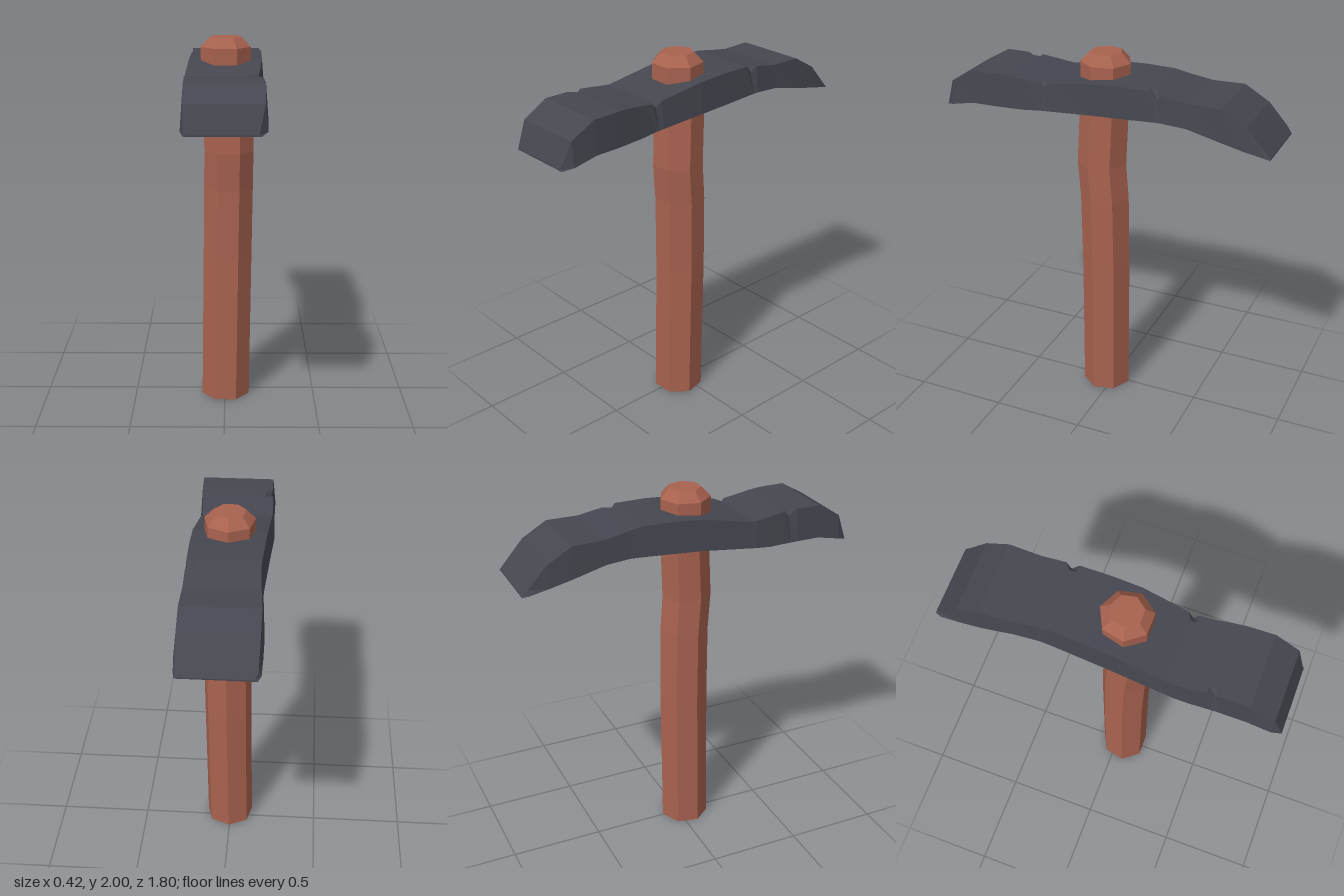
import * as THREE from 'three';

// Faceted solid through a list of rings, each counter-clockwise about the direction of travel
function loft(rings) {
  const pos = [], n = rings[0].length;
  const tri = (a, b, c) => pos.push(...a, ...b, ...c);
  for (let i = 0; i < rings.length - 1; i++) {
    for (let j = 0; j < n; j++) {
      const k = (j + 1) % n;
      const a = rings[i][j], b = rings[i][k], c = rings[i + 1][k], d = rings[i + 1][j];
      tri(a, b, c);
      tri(a, c, d);
    }
  }
  const first = rings[0], last = rings[rings.length - 1];
  for (let j = 1; j < n - 1; j++) {
    tri(first[0], first[j + 1], first[j]);
    tri(last[0], last[j], last[j + 1]);
  }
  const g = new THREE.BufferGeometry();
  g.setAttribute('position', new THREE.Float32BufferAttribute(pos, 3));
  g.computeVertexNormals();
  return g;
}

// Seven-sided ring of the handle, one corner towards the back
function handleRing([y, x, z, r]) {
  return Array.from({ length: 7 }, (_, i) => {
    const a = (i / 7) * Math.PI * 2;
    return [x - r * Math.sin(a), y, z - r * Math.cos(a)];
  });
}

// Cross-section of the head; nickL and nickR lower the upper corners
function headRing([z, top, bottom, xl, xr, nickL = 0, nickR = 0]) {
  const inset = 0.013, rim = 0.05;
  return [
    [xl, bottom, z], [xr, bottom, z],
    [xr - inset - nickR * 0.3, top - nickR, z], [xr - rim, top, z],
    [xl + rim, top, z], [xl + inset + nickL * 0.3, top - nickL, z],
  ];
}

export function createModel() {
  const wood = new THREE.MeshStandardMaterial({ color: 0xa8624f });
  const iron = new THREE.MeshStandardMaterial({ color: 0x464650 });
  wood.name = 'reddish wood';
  iron.name = 'dark iron';

  // Slightly crooked handle with a bevelled top: y, centre x, centre z, radius
  const handle = new THREE.Mesh(loft([
    [0, 0.005, 0.04, 0.134],
    [0.8, 0.015, 0.035, 0.134],
    [1.2, 0.02, 0.04, 0.134],
    [1.4, 0.022, 0.055, 0.134],
    [1.7, 0.018, 0.042, 0.132],
    [1.86, 0.006, 0.04, 0.134],
    [1.95, 0.005, 0.04, 0.134],
    [2, 0.005, 0.04, 0.086],
  ].map(handleRing)), wood);
  handle.name = 'handle';

  // Curved, chipped head: z, top, bottom, right x, left x, chips
  const head = new THREE.Mesh(loft([
    [-0.9, 1.645, 1.638, -0.185, 0.193],
    [-0.87, 1.677, 1.647, -0.2, 0.2],
    [-0.77, 1.785, 1.668, -0.203, 0.208],
    [-0.64, 1.86, 1.697, -0.203, 0.208],
    [-0.47, 1.86, 1.735, -0.192, 0.205],
    [-0.34, 1.882, 1.742, -0.184, 0.206],
    [-0.31, 1.888, 1.741, -0.184, 0.206, 0, 0.035],
    [-0.27, 1.895, 1.739, -0.185, 0.206],
    [-0.1, 1.895, 1.73, -0.193, 0.208],
    [0.05, 1.885, 1.722, -0.2, 0.207],
    [0.29, 1.841, 1.698, -0.211, 0.187],
    [0.32, 1.835, 1.695, -0.212, 0.184, 0, 0.025],
    [0.35, 1.837, 1.692, -0.214, 0.184],
    [0.43, 1.847, 1.685, -0.212, 0.188],
    [0.51, 1.857, 1.685, -0.208, 0.196],
    [0.55, 1.86, 1.685, -0.206, 0.2, 0.035, 0],
    [0.59, 1.86, 1.685, -0.205, 0.204],
    [0.72, 1.86, 1.685, -0.204, 0.208],
    [0.85, 1.785, 1.657, -0.202, 0.204],
    [0.9, 1.65, 1.643, -0.185, 0.175],
  ].map(headRing)), iron);
  head.name = 'pickHead';

  const group = new THREE.Group();
  group.name = 'pickaxe';
  group.add(handle, head);
  return group;
}
